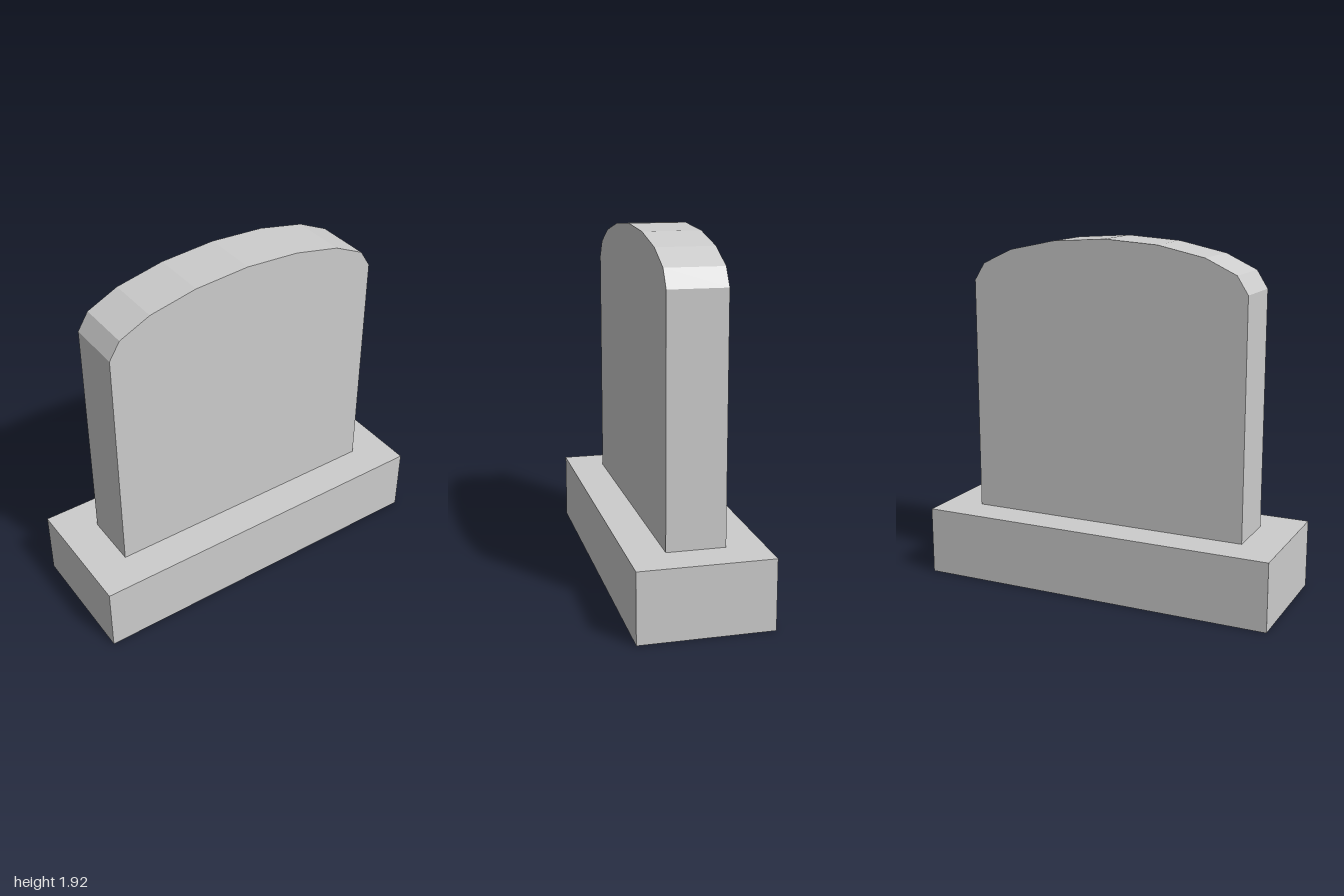
import * as THREE from 'three';
import { mergeGeometries } from 'three/addons/utils/BufferGeometryUtils.js';

const BASE_H = 0.375, BASE_X = 1, BASE_Z = 0.353;
const SLAB_X = 0.79, SLAB_Z = 0.155;

// Flat-faced band sweeping a counter-clockwise [x, y] profile from z0 to z1
function ribbon(points, z0, z1) {
  const pos = [];
  for (let i = 0; i < points.length - 1; i++) {
    const [ax, ay] = points[i], [bx, by] = points[i + 1];
    pos.push(ax, ay, z0, bx, by, z0, bx, by, z1);
    pos.push(ax, ay, z0, bx, by, z1, ax, ay, z1);
  }
  const g = new THREE.BufferGeometry();
  g.setAttribute('position', new THREE.Float32BufferAttribute(pos, 3));
  g.computeVertexNormals();
  return g;
}

// Flat face of a shape, reduced to position and normal for merging
function face(shape) {
  const g = new THREE.ShapeGeometry(shape).toNonIndexed();
  g.deleteAttribute('uv');
  return g;
}

const toShape = (points) => new THREE.Shape(points.map(([x, y]) => new THREE.Vector2(x, y)));
const rect = (x, y) => [[-x, -y], [x, -y], [x, y], [-x, y]];

export function createModel() {
  const model = new THREE.Group();
  model.name = 'headstone';
  const stone = new THREE.MeshStandardMaterial({ color: 0xcccccc, side: THREE.DoubleSide });
  stone.name = 'grey stone';

  // Plinth: open underneath, its top a ledge around the hollow slab
  const outline = rect(BASE_X, BASE_Z);
  const ledge = toShape(outline);
  ledge.holes.push(toShape(rect(SLAB_X, SLAB_Z)));
  const plinthGeo = mergeGeometries([
    ribbon([...outline, outline[0]], 0, BASE_H),
    face(ledge).translate(0, 0, BASE_H),
  ]).rotateX(-Math.PI / 2);
  const plinth = new THREE.Mesh(plinthGeo, stone);
  plinth.name = 'plinth';

  // Slab: upright sides with a faceted arched top
  const half = [[SLAB_X, BASE_H], [SLAB_X, 1.67], [0.73, 1.765], [0.56, 1.845], [0.3, 1.9]];
  const mirrored = half.map(([x, y]) => [-x, y]).reverse();
  const profile = [...half, [0, 1.92], ...mirrored];
  const slabFace = toShape(profile);
  const slabGeo = mergeGeometries([
    ribbon(profile, -SLAB_Z, SLAB_Z),
    face(slabFace).translate(0, 0, SLAB_Z),
    face(slabFace).rotateY(Math.PI).translate(0, 0, -SLAB_Z),
  ]);
  const slab = new THREE.Mesh(slabGeo, stone);
  slab.name = 'slab';

  model.add(plinth, slab);
  return model;
}
